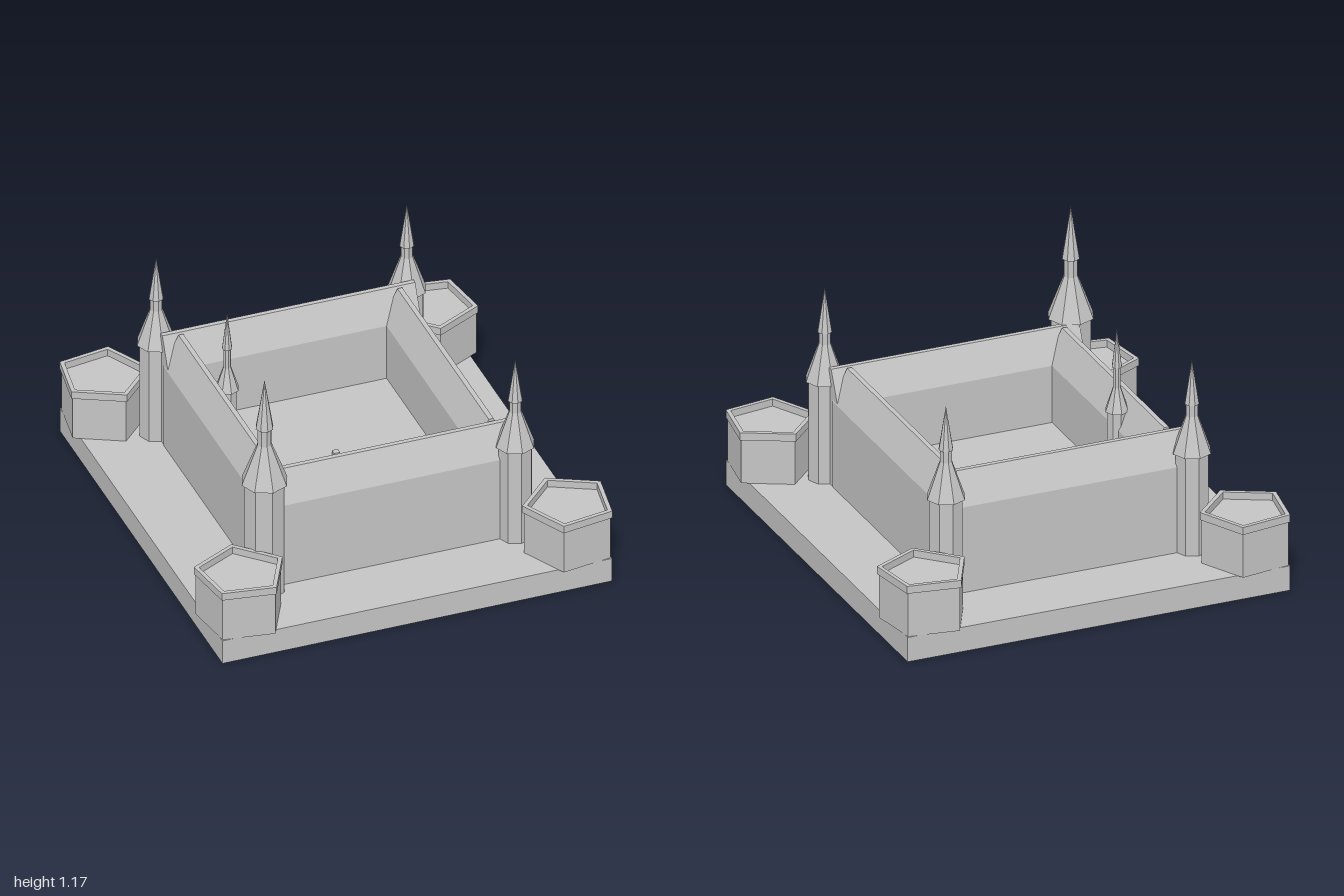
import * as THREE from 'three';

const BASE = 0.115; // top of the plinth

export function createModel() {
  const group = new THREE.Group();
  const stone = new THREE.MeshStandardMaterial({ color: 0xc4c4c4, flatShading: true });
  stone.name = 'stone';

  const add = (name, geometry, x = 0, y = 0, z = 0) => {
    const mesh = new THREE.Mesh(geometry, stone);
    mesh.name = name;
    mesh.position.set(x, y, z);
    group.add(mesh);
    return mesh;
  };
  const points = (list) => list.map(([x, y]) => new THREE.Vector2(x, y));

  // Plinth and raised courtyard floor
  add('plinth', new THREE.BoxGeometry(1.78, BASE, 1.93), 0, BASE / 2, 0);
  add('courtyardFloor', new THREE.BoxGeometry(0.9, 0.135, 1.04), 0, BASE + 0.0675, 0);
  add('courtyardStone', new THREE.BoxGeometry(0.028, 0.02, 0.028), 0.005, 0.26, -0.013);

  // Thick wings with pitched roofs around the courtyard
  const wingGeometry = (length) => {
    const profile = new THREE.Shape(points([
      [-0.08, BASE], [0.08, BASE], [0.08, 0.517], [0.011, 0.66], [-0.011, 0.66], [-0.08, 0.517],
    ]));
    const geometry = new THREE.ExtrudeGeometry(profile, { depth: length, bevelEnabled: false });
    return geometry.translate(0, 0, -length / 2);
  };
  for (const s of [-1, 1]) {
    add(s > 0 ? 'leftWing' : 'rightWing', wingGeometry(1.085), s * 0.5, 0, 0);
    add(s > 0 ? 'frontWing' : 'backWing', wingGeometry(1.155).rotateY(Math.PI / 2), 0, 0, s * 0.571);
  }

  // Octagonal tower: shaft, flared roof, lantern and spire
  const tower = (name, x, z, shaft, eave, eaveY, neck, neckY, spire, spireY, tipY) =>
    add(name, new THREE.LatheGeometry(points([
      [0, BASE], [shaft, BASE], [shaft, eaveY], [eave, eaveY], [neck, neckY],
      [neck, spireY], [spire, spireY], [0, tipY],
    ]), 8), x, 0, z);

  tower('tallTower', -0.574, 0.643, 0.092, 0.104, 0.66, 0.031, 0.85, 0.04, 0.932, 1.175);
  for (const [x, z] of [[0.571, 0.643], [0.571, -0.643], [-0.574, -0.643]]) {
    tower('cornerTower', x, z, 0.076, 0.087, 0.578, 0.027, 0.748, 0.033, 0.803, 1.008);
  }
  tower('courtyardTurret', -0.43, -0.175, 0.045, 0.053, 0.595, 0.017, 0.705, 0.023, 0.8, 0.98);

  // Pentagonal bastions, one vertex pointing out along each diagonal
  const pentagon = (radius, turn) => points(Array.from({ length: 5 }, (_, i) => {
    const a = turn + (i * Math.PI * 2) / 5;
    return [radius * Math.cos(a), radius * Math.sin(a)];
  }));
  const prism = (shape, height) =>
    new THREE.ExtrudeGeometry(shape, { depth: height, bevelEnabled: false }).rotateX(-Math.PI / 2);
  for (const sx of [-1, 1]) {
    for (const sz of [-1, 1]) {
      const turn = Math.atan2(-sz, sx);
      const x = sx * 0.748, z = sz * 0.819;
      add('bastionBody', prism(new THREE.Shape(pentagon(0.195, turn)), 0.207), x, BASE, z);
      const rim = new THREE.Shape(pentagon(0.203, turn));
      rim.holes.push(new THREE.Path(pentagon(0.18, turn).reverse()));
      add('bastionParapet', prism(rim, 0.035), x, 0.32, z);
    }
  }
  return group;
}
